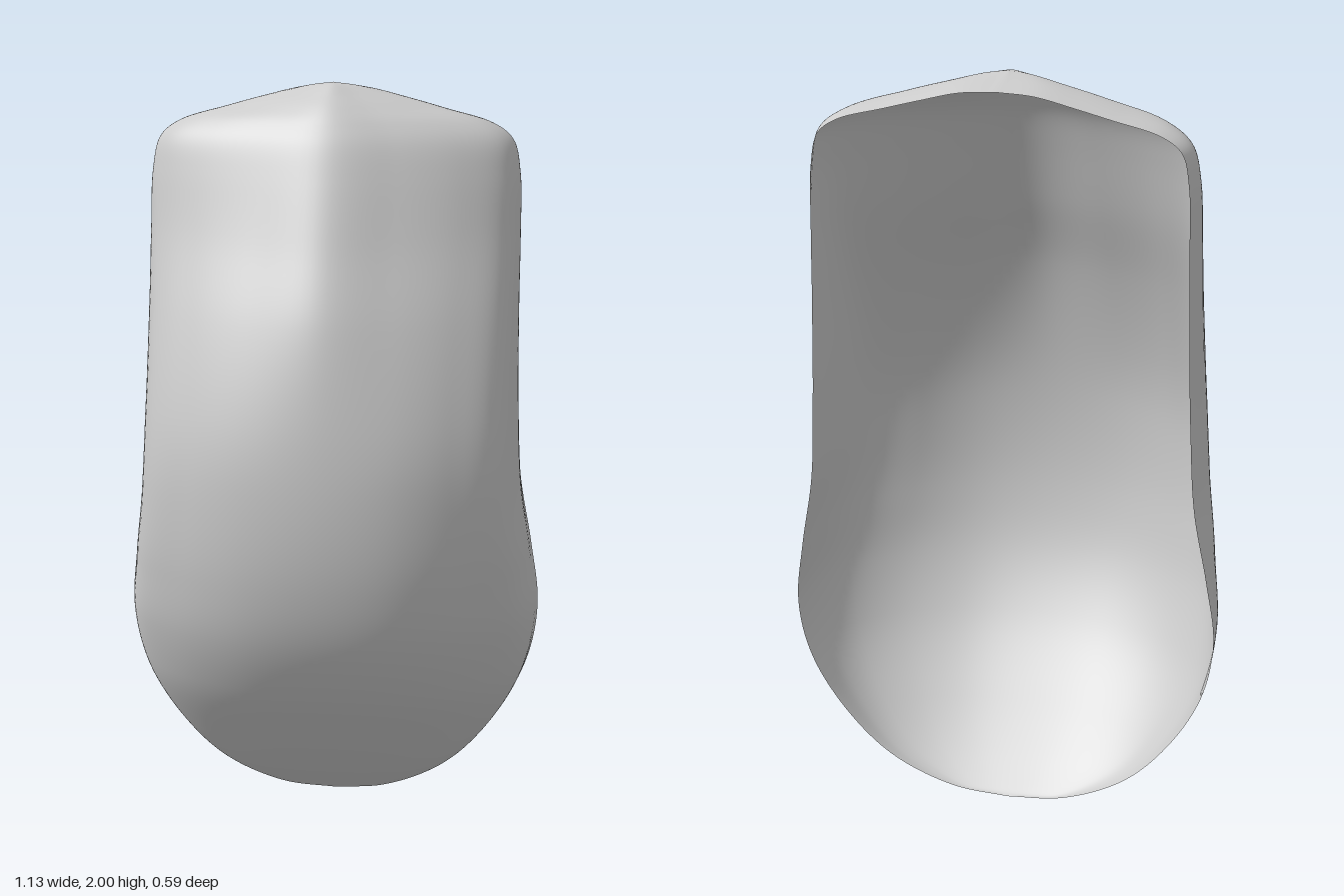
import * as THREE from 'three';
import { mergeVertices } from 'three/addons/utils/BufferGeometryUtils.js';

// Outline from bottom to top: [half width, height, z of the front at the middle]
const PROFILE = [
  [0, 0, -0.2], [0.15, 0.015, -0.18], [0.31, 0.085, -0.105], [0.43, 0.2, 0],
  [0.535, 0.38, 0.145], [0.567, 0.55, 0.235], [0.548, 0.72, 0.28], [0.515, 0.92, 0.295],
  [0.503, 1.15, 0.277], [0.5, 1.4, 0.22], [0.5, 1.6, 0.135], [0.496, 1.76, 0.065],
  [0.475, 1.85, 0.022], [0.42, 1.898, -0.01], [0.3, 1.938, -0.045],
  [0.2, 1.968, -0.083], [0.1, 1.993, -0.125], [0, 2, -0.165],
];

// Half cross-sections, rim to middle: [fraction of half width, fraction of depth]
const ROUND = [[1, 0], [0.965, 0.3], [0.87, 0.53], [0.65, 0.78], [0.35, 0.95], [0, 1]];
const BOXY = [[0.99, 0], [1, 0.3], [0.92, 0.66], [0.68, 0.84], [0.39, 0.955], [0, 1]];
const TENT = [[0.97, 0], [1, 0.23], [0.93, 0.45], [0.7, 0.66], [0.37, 0.85], [0, 1]];

const rimZ = (y) => -0.2 - 0.094 * (1 - Math.pow(1 - Math.min(y / 2, 1), 3));

// Full cross-section at a height, blended from the three key sections
function sectionAt(y) {
  const toBoxy = THREE.MathUtils.smoothstep(y, 0.4, 1);
  const toTent = THREE.MathUtils.smoothstep(y, 1, 1.75);
  const mix = (i, k) => THREE.MathUtils.lerp(
    THREE.MathUtils.lerp(ROUND[i][k], BOXY[i][k], toBoxy), TENT[i][k], toTent);
  const half = ROUND.map((_, i) => new THREE.Vector3(mix(i, 0), 0, mix(i, 1)));
  const mirrored = half.slice(0, -1).reverse().map((p) => new THREE.Vector3(-p.x, 0, p.z));
  return new THREE.CatmullRomCurve3([...half, ...mirrored]);
}

function shellGeometry(rows = 136, cols = 80) {
  const spine = new THREE.CatmullRomCurve3(PROFILE.map((p) => new THREE.Vector3(...p)));
  const positions = [];
  const indices = [];
  for (let i = 0; i <= rows; i++) {
    const { x: width, y, z: front } = spine.getPoint(i / rows);
    const section = sectionAt(y);
    const back = rimZ(y);
    for (let j = 0; j <= cols; j++) {
      const p = section.getPoint(j / cols);
      const z = back + (front - back) * p.z;
      // the top lip droops a little toward its back edge
      const droop = 0.03 * THREE.MathUtils.clamp((-0.165 - z) / 0.13, 0, 1)
        * THREE.MathUtils.smoothstep(y, 1.8, 2);
      positions.push(Math.max(width, 0) * p.x, Math.max(y, 0) - droop, z);
      if (i < rows && j < cols) {
        const a = i * (cols + 1) + j;
        const c = a + cols + 1;
        indices.push(a + 1, a, c, a + 1, c, c + 1);
      }
    }
  }
  const raw = new THREE.BufferGeometry();
  raw.setAttribute('position', new THREE.Float32BufferAttribute(positions, 3));
  raw.setIndex(indices);
  // weld the closing rows so shading stays smooth across the middle
  const geometry = mergeVertices(raw, 1e-5);
  geometry.computeVertexNormals();
  return geometry;
}

export function createModel() {
  const group = new THREE.Group();
  group.name = 'openShell';
  const shell = new THREE.Mesh(
    shellGeometry(),
    new THREE.MeshStandardMaterial({ color: 0xcccccc, side: THREE.DoubleSide }),
  );
  shell.name = 'shell';
  group.add(shell);
  return group;
}
